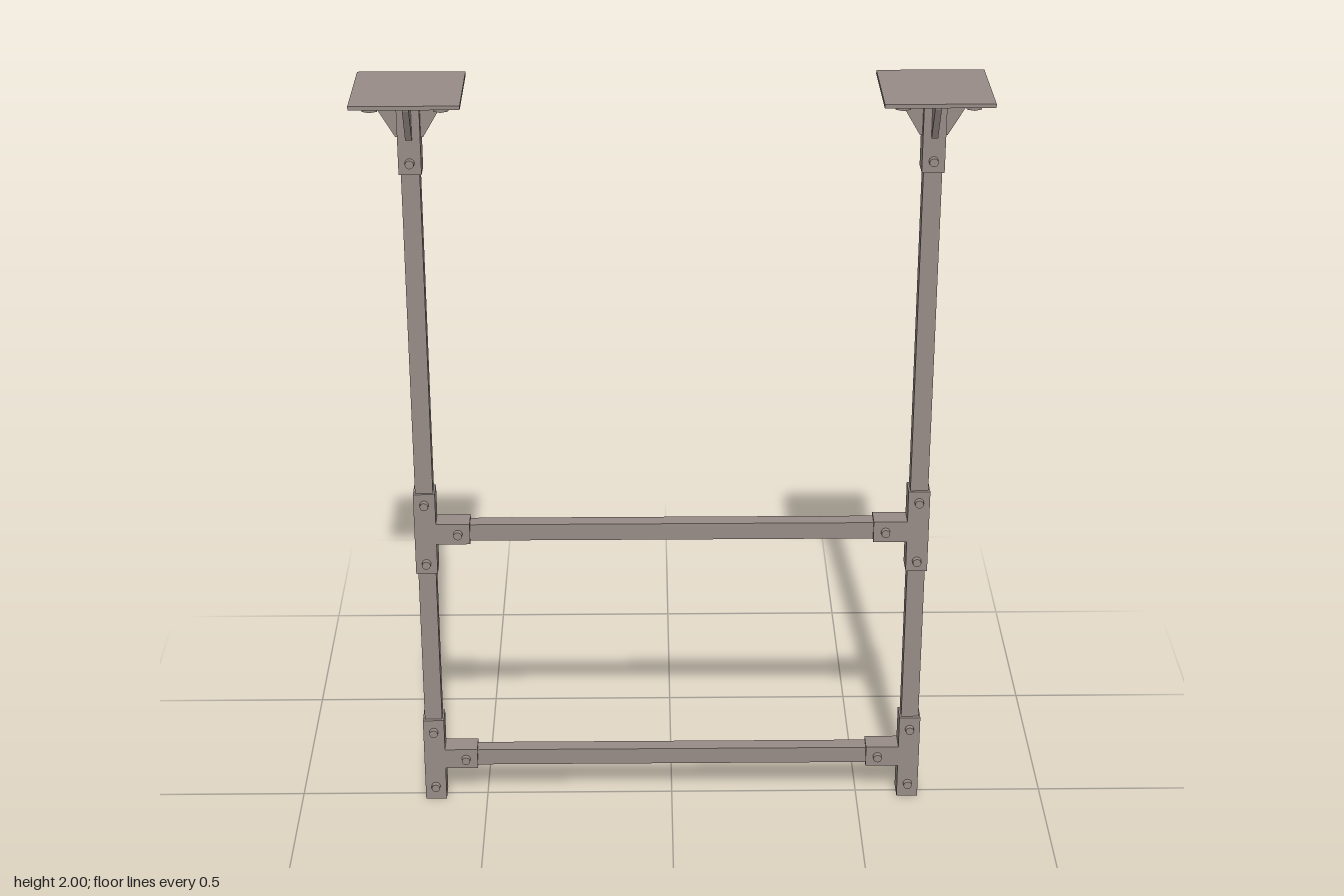
import * as THREE from 'three';

export function createModel() {
  const root = new THREE.Group();
  root.name = 'hangingFrame';
  const steel = new THREE.MeshStandardMaterial({ color: 0x968b86 });
  steel.name = 'warm grey steel';

  const add = (parent, name, geo, x = 0, y = 0, z = 0) => {
    const mesh = new THREE.Mesh(geo, steel);
    mesh.name = name;
    mesh.position.set(x, y, z);
    parent.add(mesh);
    return mesh;
  };
  const box = (parent, name, w, h, d, x, y, z = 0) =>
    add(parent, name, new THREE.BoxGeometry(w, h, d), x, y, z);

  const POST_X = 0.638;
  const fittings = [0.125, 0.805]; // heights of the two cross bars

  // Round bolt head on a hex washer base, front and back of a sleeve
  const boltGeo = new THREE.CylinderGeometry(0.011, 0.012, 0.014, 12).rotateX(Math.PI / 2);
  const bolts = (parent, x, y) => {
    for (const s of [1, -1]) {
      const b = add(parent, 'bolt', boltGeo, x, y, s * 0.035);
      if (s < 0) b.rotation.y = Math.PI;
    }
  };

  // Triangular rib that braces the ceiling plate against its socket
  const ribShape = new THREE.Shape([
    new THREE.Vector2(0.02, 1.88), new THREE.Vector2(0.034, 1.88),
    new THREE.Vector2(0.088, 1.972), new THREE.Vector2(0.088, 1.992),
    new THREE.Vector2(0.02, 1.992),
  ]);
  const ribGeo = new THREE.ExtrudeGeometry(ribShape, { depth: 0.016, bevelEnabled: false });
  ribGeo.translate(0, 0, -0.008);
  const anchorGeo = new THREE.CylinderGeometry(0.021, 0.021, 0.018, 6);

  for (const side of [1, -1]) {
    const name = side > 0 ? 'left' : 'right';
    const upright = new THREE.Group();
    upright.name = name + 'Upright';
    upright.position.x = side * POST_X;
    root.add(upright);

    box(upright, 'post', 0.046, 1.97, 0.042, 0, 1.005);

    // Ceiling plate, socket, ribs and anchors
    box(upright, 'ceilingPlate', 0.266, 0.01, 0.266, 0, 1.995);
    box(upright, 'socket', 0.056, 0.2, 0.058, 0, 1.89);
    bolts(upright, 0, 1.82);
    for (let i = 0; i < 4; i++) {
      add(upright, 'rib', ribGeo).rotation.y = i * Math.PI / 2;
      const sx = i & 1 ? 1 : -1, sz = i & 2 ? 1 : -1;
      add(upright, 'anchorBolt', anchorGeo, sx * 0.085, 1.983, sz * 0.085);
    }

    // Tee fittings: vertical sleeve with an arm pointing inwards
    for (const y of fittings) {
      const tee = new THREE.Group();
      tee.name = 'teeFitting';
      tee.position.y = y;
      upright.add(tee);
      const low = y < 0.5 ? -0.125 : -0.115;
      const high = y < 0.5 ? 0.12 : 0.115;
      box(tee, 'sleeve', 0.056, high - low, 0.058, 0, (high + low) / 2);
      box(tee, 'arm', 0.092, 0.058, 0.058, -side * 0.069, 0);
      bolts(tee, 0, -0.085);
      bolts(tee, 0, 0.085);
      bolts(tee, -side * 0.084, 0);
    }
  }

  // Cross bars between the tees
  for (const y of fittings) box(root, 'crossBar', 1.2, 0.046, 0.04, 0, y);

  return root;
}
